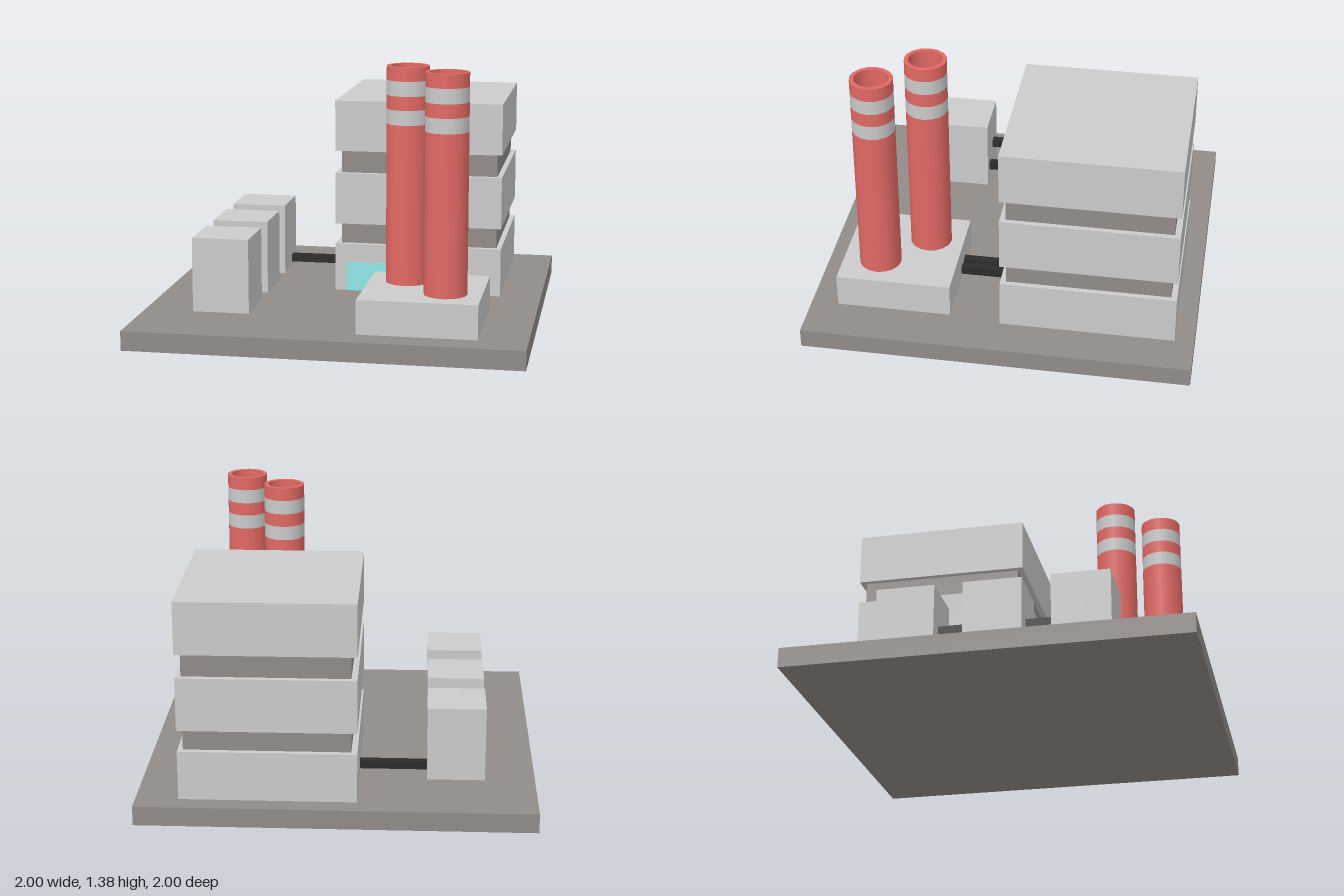
import * as THREE from 'three';

const mat = (color) => new THREE.MeshStandardMaterial({ color });
const grey = mat(0xcccccc);
const ground = mat(0x928c88);
const red = mat(0xe26964);
const black = mat(0x2c2c2a);
const cyan = mat(0x90e8e8);

export function createModel() {
  const model = new THREE.Group();

  // Box given by its extents along each axis
  const box = (name, material, [x0, x1], [y0, y1], [z0, z1], parent = model) => {
    const mesh = new THREE.Mesh(new THREE.BoxGeometry(x1 - x0, y1 - y0, z1 - z0), material);
    mesh.position.set((x0 + x1) / 2, (y0 + y1) / 2, (z0 + z1) / 2);
    mesh.name = name;
    parent.add(mesh);
  };

  box('groundSlab', ground, [-1, 1], [0, 0.1], [-1, 1]);

  // Main building: three floors separated by recessed bands
  const building = new THREE.Group();
  building.name = 'mainBuilding';
  model.add(building);
  for (const [y0, y1] of [[0.1, 0.355], [0.465, 0.74], [0.86, 1.13]]) {
    box('floor', grey, [-0.105, 0.785], [y0, y1], [-0.9, 0], building);
  }
  for (const [y0, y1] of [[0.355, 0.465], [0.74, 0.86]]) {
    box('recessedBand', ground, [-0.075, 0.758], [y0, y1], [-0.87, -0.03], building);
  }
  box('door', cyan, [-0.045, 0.2], [0.1, 0.255], [-0.02, 0.005], building);

  // Row of three side blocks
  for (const z of [-0.455, -0.015, 0.425]) {
    box('sideBlock', grey, [-0.745, -0.45], [0.1, 0.487], [z - 0.148, z + 0.148]);
  }

  // Square pipes joining the side blocks, one high and one low per gap
  for (const z of [-0.235, 0.205]) {
    box('highPipe', black, [-0.655, -0.61], [0.258, 0.3], [z - 0.08, z + 0.08]);
    box('lowPipe', black, [-0.54, -0.495], [0.178, 0.22], [z - 0.08, z + 0.08]);
  }

  // Pipes leading into the main building
  box('sidePipe', black, [-0.46, -0.1], [0.125, 0.167], [-0.535, -0.492]);
  for (const x of [0.342, 0.412]) {
    box('frontPipe', black, [x - 0.022, x + 0.022], [0.125, 0.167], [-0.01, 0.275]);
  }

  // Chimney base and two hollow, striped chimneys
  box('chimneyBase', grey, [0.155, 0.755], [0.1, 0.275], [0.265, 0.86]);
  const outer = 0.109, inner = 0.087, sides = 16;
  const levels = [0.275, 1.09, 1.165, 1.235, 1.31, 1.38];
  for (const [x, z] of [[0.348, 0.44], [0.572, 0.665]]) {
    const chimney = new THREE.Group();
    chimney.name = 'chimney';
    chimney.position.set(x, 0, z);
    model.add(chimney);
    const lathe = (name, material, points) => {
      const profile = points.map(([r, y]) => new THREE.Vector2(r, y));
      const mesh = new THREE.Mesh(new THREE.LatheGeometry(profile, sides), material);
      mesh.name = name;
      chimney.add(mesh);
    };
    for (let i = 0; i < levels.length - 1; i++) {
      lathe(i % 2 ? 'greyStripe' : 'redSection', i % 2 ? grey : red,
        [[outer, levels[i]], [outer, levels[i + 1]]]);
    }
    lathe('rim', red, [[outer, 1.38], [inner, 1.38]]);
    lathe('innerWall', red, [[inner, 1.38], [inner, 0.275]]);
  }

  return model;
}
